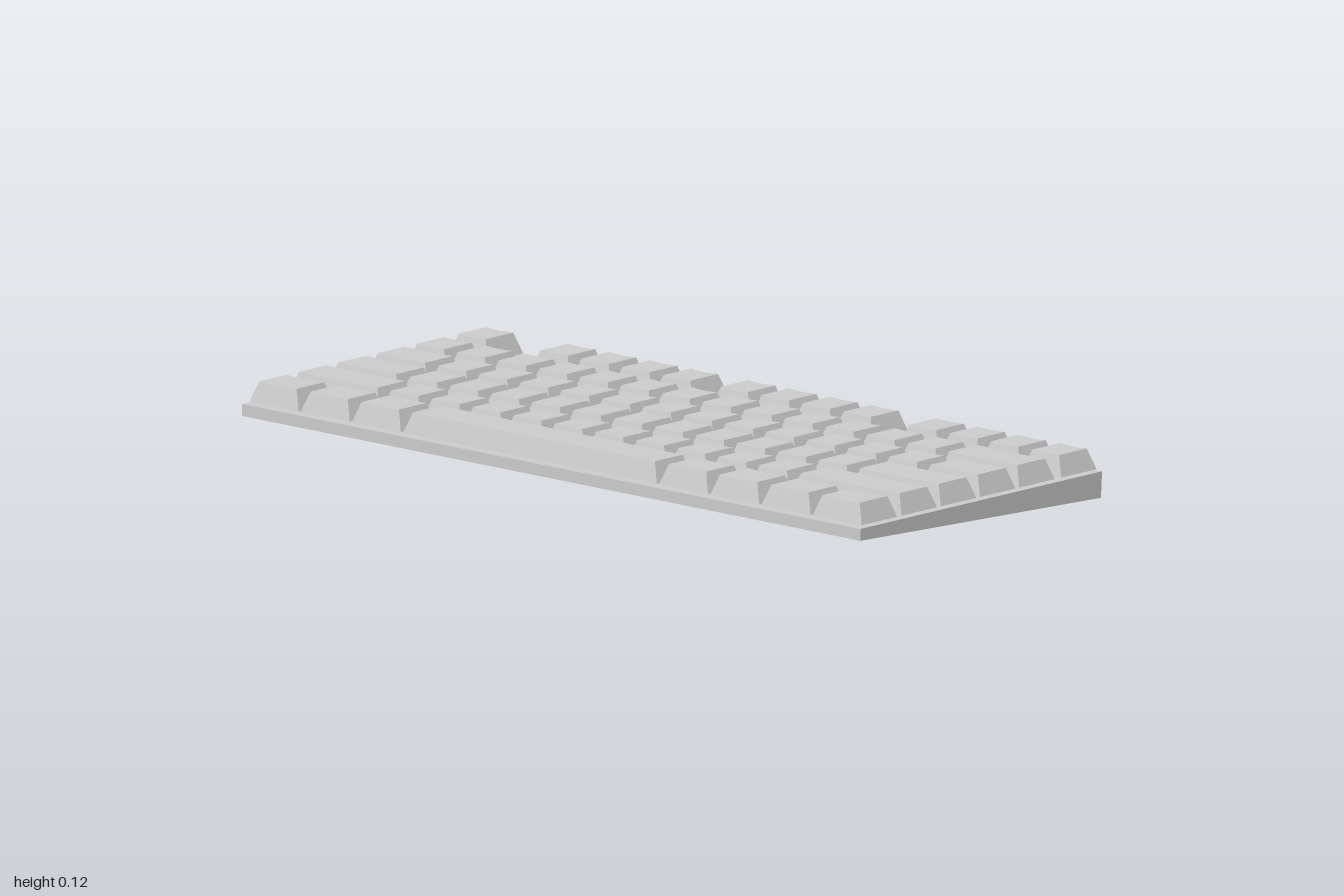
import * as THREE from 'three';

const material = new THREE.MeshStandardMaterial({ color: 0xcccccc, flatShading: true });

const LEFT = -0.99, GAP = 0.007, PITCH = (1.98 + GAP) / 15; // 15 key units across
const KEY_DEPTH = 0.125, KEY_BOTTOM = 0.069, KEY_HEIGHT = 0.05;
const INSET_X = 0.019, INSET_Z = 0.014, DISH = 0.002;

const ones = (n) => Array(n).fill(1);

// Rows from back to front; key widths in units, negative numbers are empty gaps
const rows = [
  { name: 'functionRow', z: -0.354, keys: [1, -1, ...ones(4), -0.4, ...ones(4), -0.6, ...ones(4)] },
  { name: 'numberRow', z: -0.207, keys: [...ones(13), 2] },
  { name: 'upperLetterRow', z: -0.069, keys: [1.5, ...ones(12), 1.5] },
  { name: 'homeLetterRow', z: 0.069, keys: [1.75, ...ones(11), 2.25] },
  { name: 'lowerLetterRow', z: 0.207, keys: [2.25, ...ones(10), 2.75] },
  { name: 'spaceBarRow', z: 0.347, keys: [1.25, 1.25, 1.25, 6.25, 1.25, 1.25, 1.25, 1.25] },
];

// Tapered keycap: a box with its top drawn in and slightly dished across
function keycapGeometry(width, dish) {
  const geometry = new THREE.BoxGeometry(width, KEY_HEIGHT, KEY_DEPTH, dish ? 6 : 1, 1, 1);
  geometry.translate(0, KEY_HEIGHT / 2, 0);
  const p = geometry.attributes.position;
  for (let i = 0; i < p.count; i++) {
    if (p.getY(i) < KEY_HEIGHT / 2) continue;
    const across = p.getX(i) / (width / 2);
    p.setXYZ(
      i,
      across * (width / 2 - INSET_X),
      KEY_HEIGHT - dish * (1 - across * across),
      Math.sign(p.getZ(i)) * (KEY_DEPTH / 2 - INSET_Z),
    );
  }
  geometry.computeVertexNormals();
  return geometry;
}

// Wedge-shaped case: side profile (z, y) extruded across the width
function createCase() {
  const profile = new THREE.Shape();
  profile.moveTo(-0.425, 0.035);
  profile.lineTo(0.421, 0);
  profile.lineTo(0.425, 0.064);
  profile.lineTo(-0.425, 0.064);
  profile.closePath();
  const geometry = new THREE.ExtrudeGeometry(profile, { depth: 2, bevelEnabled: false });
  geometry.translate(0, 0, -1);
  geometry.rotateY(Math.PI / 2); // profile x becomes -z
  const mesh = new THREE.Mesh(geometry, material);
  mesh.name = 'case';
  return mesh;
}

export function createModel() {
  const model = new THREE.Group();
  model.name = 'keyboard';
  model.add(createCase());

  // Keys, sharing one geometry per width
  const cache = new Map();
  for (const { name, z, keys } of rows) {
    const row = new THREE.Group();
    row.name = name;
    row.position.set(0, KEY_BOTTOM, z);
    let x = LEFT;
    for (const units of keys) {
      const span = Math.abs(units) * PITCH;
      if (units > 0) {
        const width = span - GAP;
        const isSpace = units > 4;
        if (!cache.has(units)) cache.set(units, keycapGeometry(width, isSpace ? 0 : DISH));
        const key = new THREE.Mesh(cache.get(units), material);
        key.name = isSpace ? 'spaceBar' : 'keycap';
        key.position.x = x + width / 2;
        row.add(key);
      }
      x += span;
    }
    model.add(row);
  }
  return model;
}
